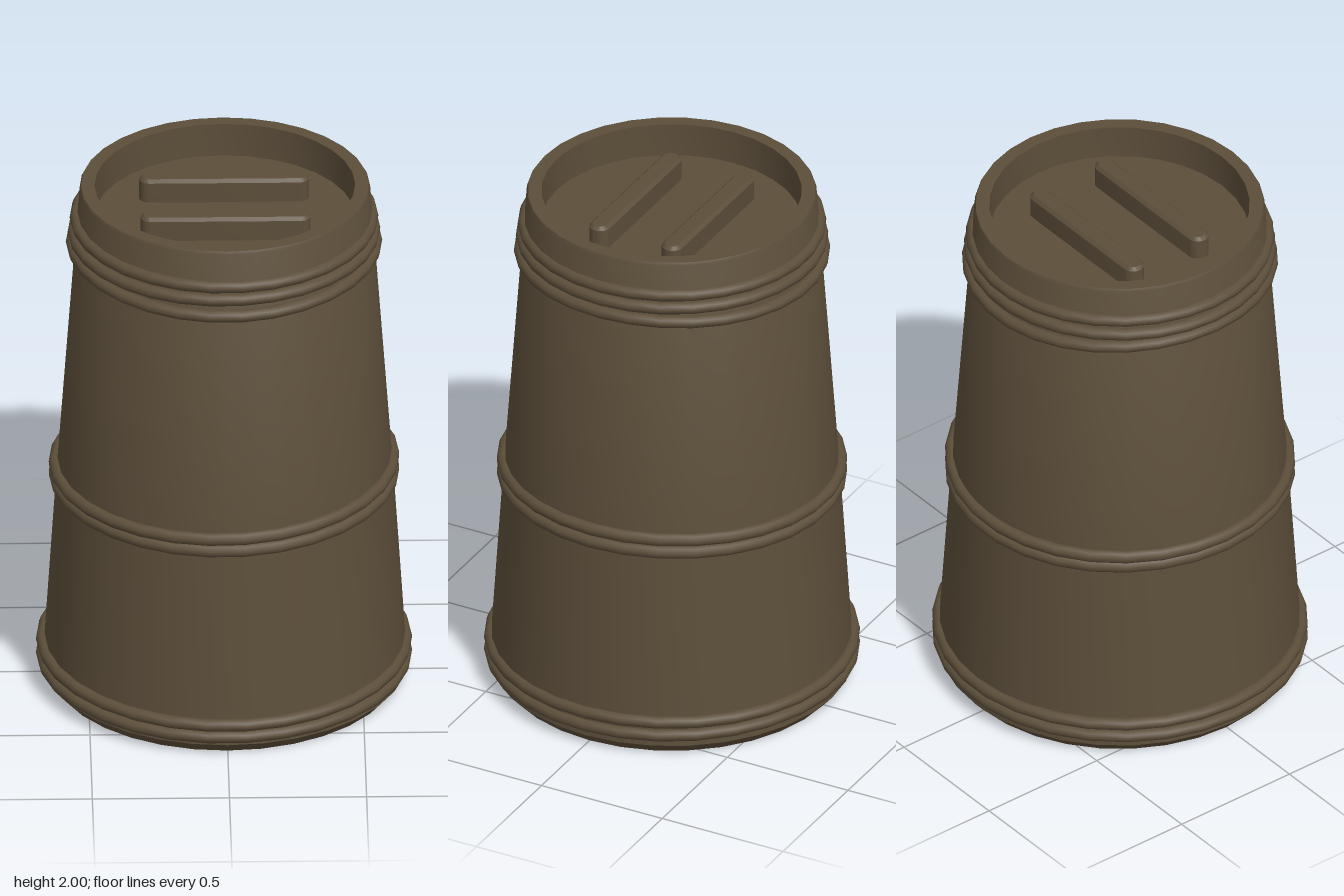
import * as THREE from 'three';
import { toCreasedNormals } from 'three/addons/utils/BufferGeometryUtils.js';

const brown = new THREE.MeshStandardMaterial({ color: 0x5c4e3a });
brown.name = 'weathered brown';

function add(group, name, geometry) {
  const mesh = new THREE.Mesh(geometry, brown);
  mesh.name = name;
  group.add(mesh);
  return mesh;
}

// Closed hoop around the barrel; heights are given at +x, +z, -x and -z
function hoopGeometry(radius, [px, pz, nx, nz]) {
  const mean = (px + pz + nx + nz) / 4;
  const twist = (px + nx - pz - nz) / 4;
  const points = [];
  const n = 30;
  for (let i = 0; i < n; i++) {
    const a = (i / n) * Math.PI * 2;
    const y = mean + (px - nx) / 2 * Math.cos(a) + (pz - nz) / 2 * Math.sin(a) + twist * Math.cos(2 * a);
    points.push(new THREE.Vector3(Math.cos(a) * radius - 0.003, y, Math.sin(a) * radius));
  }
  const path = new THREE.CatmullRomCurve3(points, true);
  return new THREE.TubeGeometry(path, n, 0.024, 10, true);
}

// Flat bar with rounded ends, standing on the lid
function gripGeometry(halfLength, halfWidth, height, bevel) {
  const r = halfWidth - bevel;
  const l = halfLength - halfWidth;
  const shape = new THREE.Shape();
  shape.moveTo(-l, -r);
  shape.lineTo(l, -r);
  shape.absarc(l, 0, r, -Math.PI / 2, Math.PI / 2, false);
  shape.lineTo(-l, r);
  shape.absarc(-l, 0, r, Math.PI / 2, Math.PI * 1.5, false);
  const g = new THREE.ExtrudeGeometry(shape, {
    depth: height - bevel, bevelEnabled: true, bevelSize: bevel,
    bevelThickness: bevel, bevelSegments: 1, curveSegments: 10,
  });
  return toCreasedNormals(g.rotateX(-Math.PI / 2), 0.5);
}

export function createModel() {
  const group = new THREE.Group();
  group.name = 'barrel';

  // Tapered shell, chamfered foot, rim and sunken lid in one profile
  const profile = [
    [0, 0], [0.63, 0], [0.665, 0.04], [0.616, 0.8], [0.53, 1.99], [0.525, 2],
    [0.475, 2], [0.475, 1.87], [0, 1.87],
  ].map(([x, y]) => new THREE.Vector2(x, y));
  add(group, 'shell', toCreasedNormals(new THREE.LatheGeometry(profile, 32), 0.5));

  // Hoops: radius, then heights at +x, +z, -x, -z
  const hoops = [
    ['topHoop', 0.539, [1.87, 1.862, 1.87, 1.868]],
    ['topHoop', 0.546, [1.82, 1.812, 1.812, 1.815]],
    ['topHoop', 0.553, [1.77, 1.748, 1.77, 1.75]],
    ['middleHoop', 0.616, [0.885, 0.863, 0.86, 0.863]],
    ['middleHoop', 0.616, [0.832, 0.815, 0.82, 0.815]],
    ['bottomHoop', 0.662, [0.135, 0.12, 0.135, 0.135]],
    ['bottomHoop', 0.662, [0.08, 0.072, 0.08, 0.085]],
  ];
  for (const [name, radius, heights] of hoops) add(group, name, hoopGeometry(radius, heights));

  // Two parallel grips on the lid
  for (const side of [-1, 1]) {
    const grip = add(group, side > 0 ? 'frontGrip' : 'backGrip', gripGeometry(0.31, 0.04, 0.09, 0.012));
    grip.position.set(0, 1.87, side * 0.15);
  }
  return group;
}
